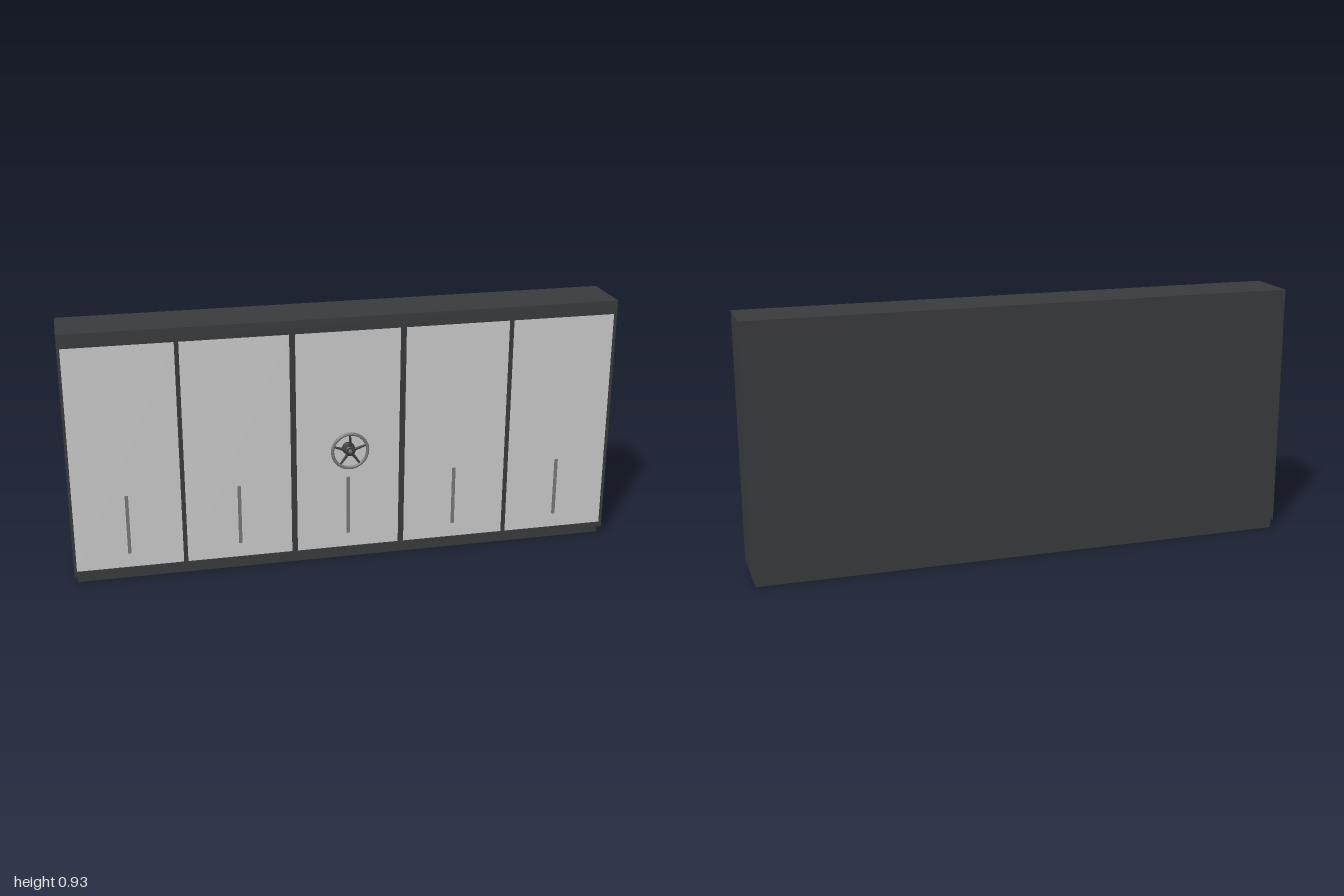
import * as THREE from 'three';

const DARK = new THREE.MeshStandardMaterial({ color: 0x3a3b3d });
const GREY = new THREE.MeshStandardMaterial({ color: 0xcccccc });
const STEEL = new THREE.MeshStandardMaterial({ color: 0x77787a });

function add(parent, name, geometry, material, x = 0, y = 0, z = 0) {
  const mesh = new THREE.Mesh(geometry, material);
  mesh.name = name;
  mesh.position.set(x, y, z);
  parent.add(mesh);
  return mesh;
}

// Box given by its minimum and maximum on each axis
function box(parent, name, material, [x0, x1], [y0, y1], [z0, z1]) {
  return add(parent, name, new THREE.BoxGeometry(x1 - x0, y1 - y0, z1 - z0), material,
    (x0 + x1) / 2, (y0 + y1) / 2, (z0 + z1) / 2);
}

function rectangle(PathType, x0, x1, y0, y1) {
  return new PathType([[x0, y0], [x1, y0], [x1, y1], [x0, y1]].map(p => new THREE.Vector2(...p)));
}

// Five-spoke hand wheel on a short flanged shaft, facing +z from the door surface
function createWheel() {
  const wheel = new THREE.Group();
  wheel.name = 'handWheel';

  // Flange, shaft and hub in one turned profile
  const profile = [[0, 0], [0.023, 0], [0.023, 0.01], [0.015, 0.013], [0.014, 0.027],
    [0.019, 0.03], [0.019, 0.036], [0.014, 0.039], [0, 0.039]];
  const turned = new THREE.LatheGeometry(profile.map(p => new THREE.Vector2(...p)), 32);
  turned.rotateX(Math.PI / 2);
  add(wheel, 'shaftAndHub', turned, new THREE.MeshStandardMaterial({ color: 0x3a3b3d, flatShading: true }));

  const rim = add(wheel, 'rim', new THREE.TorusGeometry(0.0645, 0.006, 12, 48), STEEL, 0, 0, 0.034);
  rim.scale.z = 0.9;

  const cap = new THREE.CylinderGeometry(0.006, 0.008, 0.003, 20).rotateX(Math.PI / 2);
  add(wheel, 'hubCap', cap, STEEL, 0, 0, 0.0395);

  // Tapered spokes, the first pointing straight up
  for (let i = 0; i < 5; i++) {
    const spoke = new THREE.CylinderGeometry(0.0035, 0.006, 0.052, 10);
    spoke.scale(1, 1, 0.7).translate(0, 0.036, 0.034).rotateZ(i * Math.PI * 2 / 5);
    add(wheel, 'spoke', spoke, DARK);
  }
  return wheel;
}

export function createModel() {
  const model = new THREE.Group();
  model.name = 'cabinet';

  // Plinth, carcass and top
  box(model, 'plinth', DARK, [-0.99, 0.99], [0, 0.03], [-0.12, 0.067]);
  box(model, 'carcass', DARK, [-1, 1], [0.03, 0.885], [-0.12, 0.06]);
  box(model, 'topPanel', DARK, [-1, 1], [0.885, 0.932], [-0.121, 0.088]);

  // Front frame with five openings
  const openings = [[-0.99, -0.608], [-0.593, -0.21], [-0.19, 0.19], [0.21, 0.593], [0.608, 0.99]];
  const bottom = 0.05, top = 0.882;
  const frame = rectangle(THREE.Shape, -1, 1, 0.03, 0.885);
  frame.holes = openings.map(([x0, x1]) => rectangle(THREE.Path, x0, x1, bottom, top));
  add(model, 'frontFrame',
    new THREE.ExtrudeGeometry(frame, { depth: 0.028, bevelEnabled: false }), DARK, 0, 0, 0.06);

  // Door panels set just behind the frame, each with a slim upright handle
  openings.forEach(([x0, x1], i) => {
    box(model, 'door', GREY, [x0, x1], [bottom, top], [0.06, 0.084]);
    const x = (i - 2) * 0.4;
    box(model, 'handle', STEEL, [x - 0.006, x + 0.006], [0.105, 0.328], [0.082, 0.088]);
  });

  const wheel = createWheel();
  wheel.position.set(0, 0.442, 0.082);
  model.add(wheel);
  return model;
}
